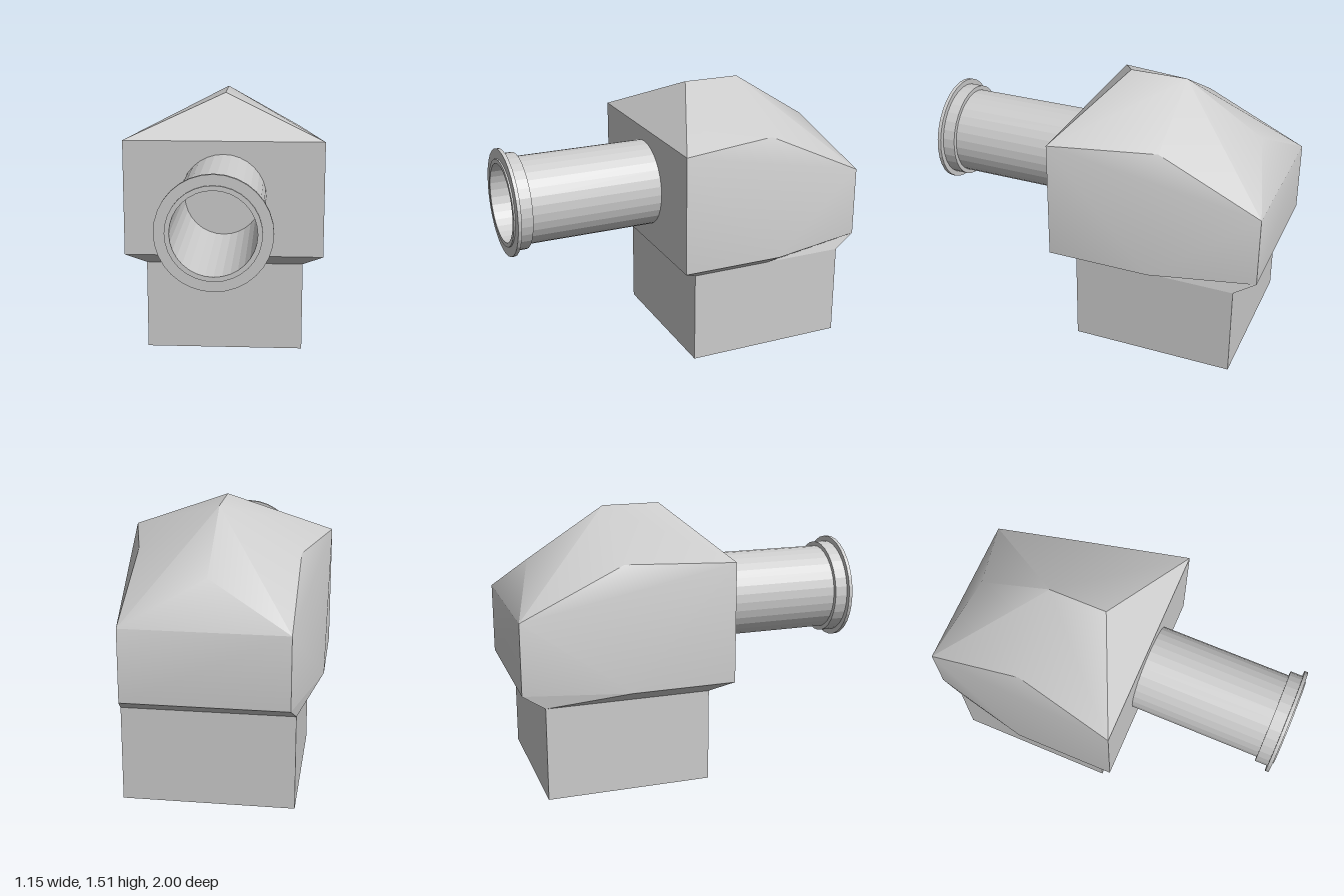
import * as THREE from 'three';
import { toCreasedNormals } from 'three/addons/utils/BufferGeometryUtils.js';
import { ConvexGeometry } from 'three/addons/geometries/ConvexGeometry.js';

const CREASE = 0.6;
const NECK_TOP = 0.525, HEAD_BASE = 0.6;

// Band of faces between two outlines of [x, z] points, given counterclockwise from above
function band(lower, yLower, upper, yUpper) {
  const positions = [];
  const n = lower.length;
  for (let i = 0; i < n; i++) {
    const j = (i + 1) % n;
    const a = [lower[i][0], yLower, lower[i][1]];
    const b = [lower[j][0], yLower, lower[j][1]];
    const c = [upper[j][0], yUpper, upper[j][1]];
    const d = [upper[i][0], yUpper, upper[i][1]];
    positions.push(...a, ...b, ...c, ...a, ...c, ...d);
  }
  const geometry = new THREE.BufferGeometry();
  geometry.setAttribute('position', new THREE.Float32BufferAttribute(positions, 3));
  geometry.computeVertexNormals();
  return geometry;
}

// Complete an outline from its left half (front to back)
const mirrorOutline = (half) => [...half, ...half.slice().reverse().map(([x, z]) => [-x, z])];

export function createModel() {
  const model = new THREE.Group();
  model.name = 'hoodedVent';
  const grey = new THREE.MeshStandardMaterial({ color: 0xcccccc });
  const faceted = new THREE.MeshStandardMaterial({ color: 0xcccccc, flatShading: true });

  const add = (name, geometry, material = grey) => {
    const mesh = new THREE.Mesh(geometry, material);
    mesh.name = name;
    model.add(mesh);
    return mesh;
  };

  // Square base block
  add('base', new THREE.BoxGeometry(0.92, NECK_TOP, 0.92)).position.set(0, NECK_TOP / 2, -0.42);

  // Sloping collar between base and head
  const headOutline = mirrorOutline([[0.575, 0.15], [0.575, -0.43], [0.44, -1]]);
  const baseOutline = mirrorOutline([[0.46, 0.04], [0.46, -0.42], [0.46, -0.88]]);
  add('collar', toCreasedNormals(band(baseOutline, NECK_TOP, headOutline, HEAD_BASE), CREASE));

  // Head with tapered sides and a hipped roof
  const points = headOutline.map(([x, z]) => new THREE.Vector3(x, HEAD_BASE, z));
  for (const side of [-1, 1]) {
    points.push(
      new THREE.Vector3(side * 0.575, 1.27, 0.15),
      new THREE.Vector3(side * 0.44, 1.27, -0.43),
      new THREE.Vector3(side * 0.44, 1.0, -1)
    );
  }
  for (const [y, z] of [[1.515, -0.105], [1.515, -0.43], [1.24, -0.865]]) {
    points.push(new THREE.Vector3(0, y, z));
  }
  add('head', toCreasedNormals(new ConvexGeometry(points), CREASE));

  // Hollow pipe with a stepped flange at its mouth: [radius, distance forward]
  const profile = [
    [0.245, 0.14], [0.245, 0.9], [0.27, 0.9], [0.27, 0.972], [0.3, 0.972],
    [0.3, 0.992], [0.245, 0.992], [0.245, 1], [0.22, 1], [0.22, 0.14]
  ].map(([r, z]) => new THREE.Vector2(r, z));
  const pipe = add('pipe', new THREE.LatheGeometry(profile, 32), faceted);
  pipe.rotation.x = Math.PI / 2;
  pipe.position.y = 0.95;

  return model;
}
